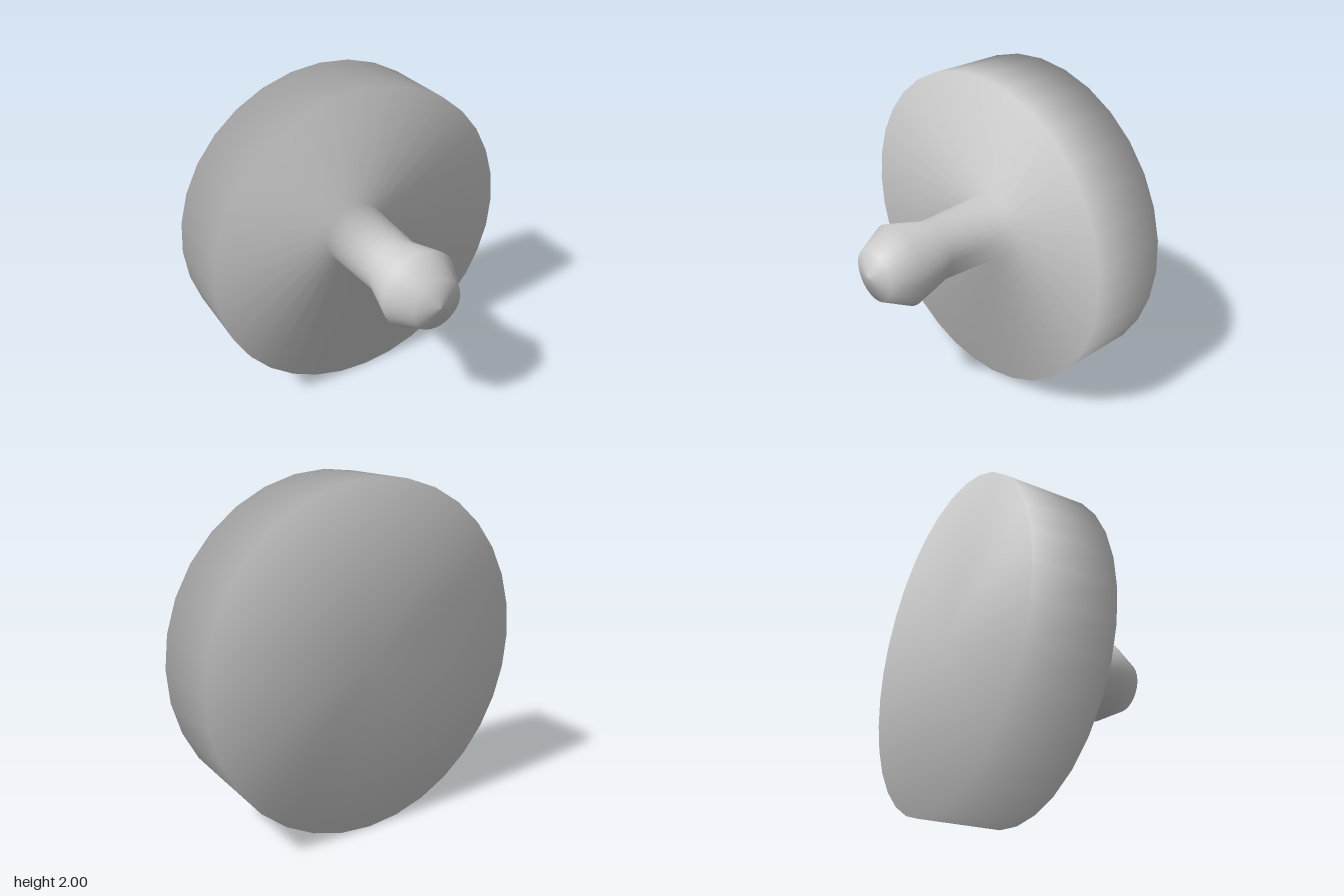
import * as THREE from 'three';

// Smoothly shaded round knob: a thick dished disc with a flared handle, turned around z.
export function createModel() {
  const group = new THREE.Group();
  group.name = 'knob';

  // [radius, z] from the centre of the back to the tip of the handle
  const profile = [
    [0, -0.652], [1, -0.652],     // flat back of the disc
    [1, -0.155], [0.205, -0.275], // rim and dished front face
    [0.187, 0.19], [0.253, 0.44], // neck and widest part of the grip
    [0.162, 0.61], [0, 0.652],    // shallow conical tip
  ].map(([r, z]) => new THREE.Vector2(r, z));

  const geometry = new THREE.LatheGeometry(profile, 32);
  geometry.rotateX(Math.PI / 2); // turning axis to z, handle towards the front

  const body = new THREE.Mesh(geometry, new THREE.MeshStandardMaterial({ color: 0xcccccc }));
  body.name = 'discWithHandle';
  body.position.y = 1;
  group.add(body);
  return group;
}
